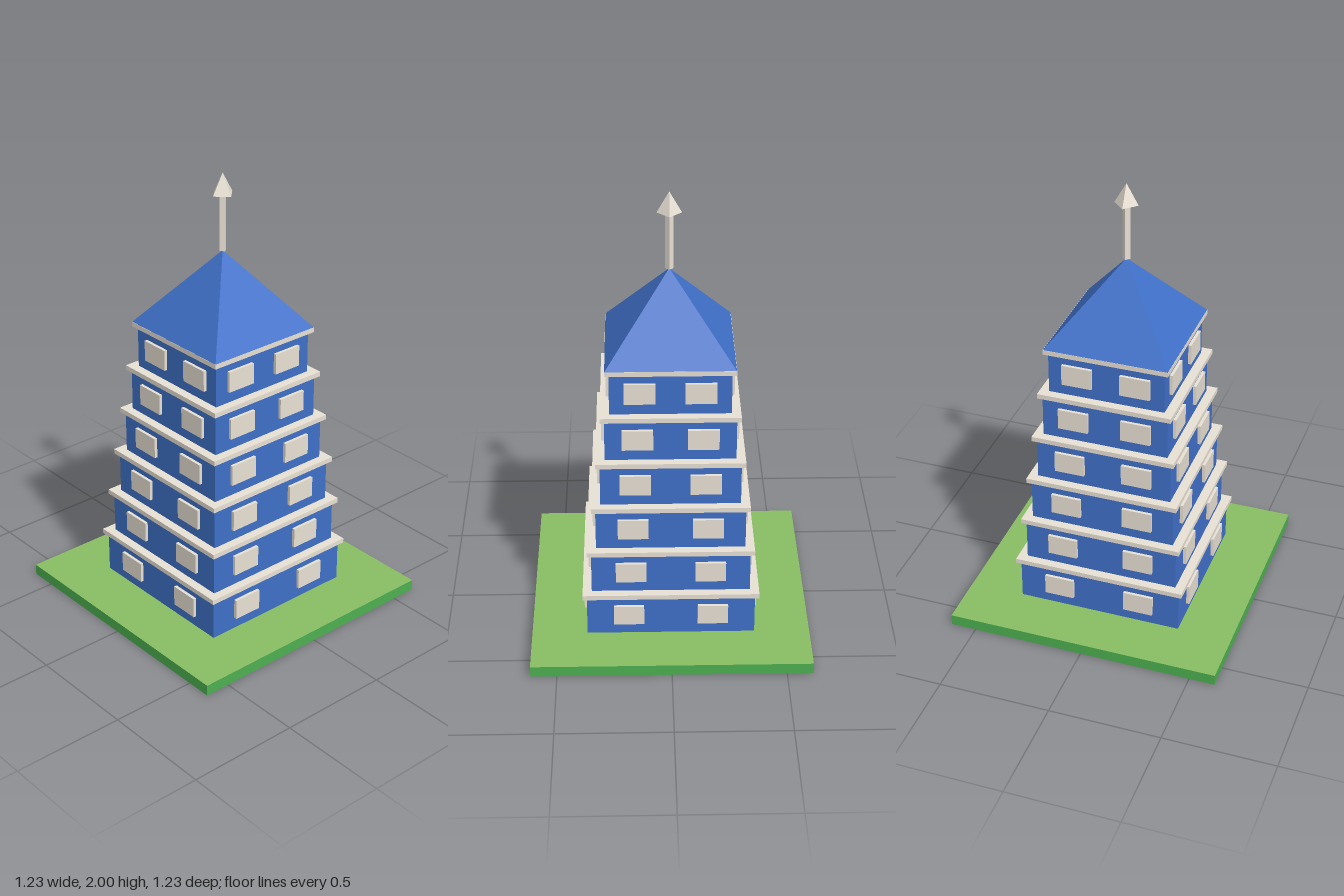
import * as THREE from 'three';

const paint = (color) => new THREE.MeshStandardMaterial({ color, flatShading: true });

export function createModel() {
  const blue = paint(0x3f70c8);
  const cream = paint(0xe8e0d4);
  const green = paint(0x4caf50);
  const grass = paint(0x88bd62);
  const model = new THREE.Group();
  model.name = 'tower';

  const add = (parent, name, geometry, material, x, y, z) => {
    const mesh = new THREE.Mesh(geometry, material);
    mesh.name = name;
    mesh.position.set(x, y, z);
    parent.add(mesh);
    return mesh;
  };
  const box = (w, h, d) => new THREE.BoxGeometry(w, h, d);

  // Square lawn with a lighter top face
  add(model, 'lawn', box(1.23, 0.05, 1.23), [green, green, grass, green, green, green], 0, 0.025, 0);

  // Six shrinking storeys, each with a ledge and two windows per side
  const floors = 6, pitch = 0.21, ledgeHeight = 0.022;
  for (let i = 0; i < floors; i++) {
    const half = 0.37 - 0.0222 * i;
    const bottom = 0.05 + pitch * i;
    const storey = new THREE.Group();
    storey.name = 'storey' + (i + 1);
    model.add(storey);

    const wallHeight = pitch - ledgeHeight;
    add(storey, 'walls', box(half * 2, wallHeight, half * 2), blue, 0, bottom + wallHeight / 2, 0);
    const ledge = (half + 0.018) * 2;
    add(storey, 'ledge', box(ledge, ledgeHeight, ledge), cream, 0, bottom + pitch - ledgeHeight / 2, 0);

    for (let s = 0; s < 4; s++) {
      const side = new THREE.Group();
      side.name = 'windowPair';
      side.rotation.y = s * Math.PI / 2;
      storey.add(side);
      for (const x of [-half / 2, half / 2]) {
        add(side, 'window', box(0.134, 0.094, 0.028), cream, x, bottom + 0.1, half);
      }
    }
  }

  // Pyramid roof
  const roofBase = 0.05 + pitch * floors, roofTop = 1.655;
  const roof = add(model, 'roof', new THREE.ConeGeometry(0.276 * Math.SQRT2, roofTop - roofBase, 4),
    blue, 0, (roofBase + roofTop) / 2, 0);
  roof.rotation.y = Math.PI / 4;

  // Four-sided spire with a pointed tip, corners on the axes
  add(model, 'spirePole', new THREE.CylinderGeometry(0.018, 0.018, 1.91 - roofTop, 4),
    cream, 0, (roofTop + 1.91) / 2, 0);
  add(model, 'spireTip', new THREE.ConeGeometry(0.053, 0.093, 4), cream, 0, 1.9535, 0);

  return model;
}
